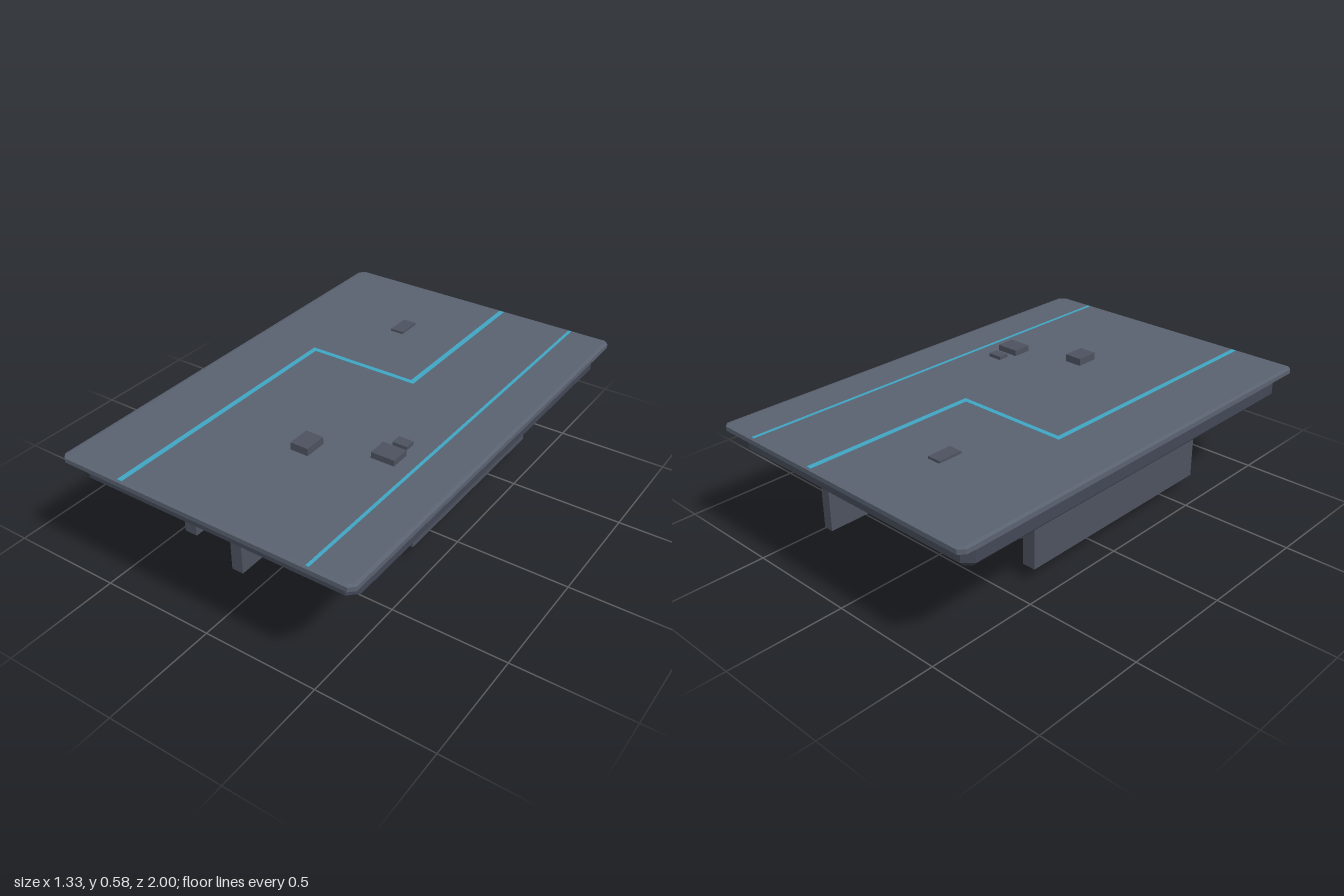
import * as THREE from 'three';

const paint = (color) => new THREE.MeshStandardMaterial({ color, flatShading: true });

export function createModel() {
  const model = new THREE.Group();
  const deckPaint = paint(0x5a6270);
  const hullPaint = paint(0x434856);
  const partPaint = paint(0x4d525f);
  const glowPaint = paint(0x40a5c3);

  // Box given by its limits on each axis
  function block(name, [x0, x1], [y0, y1], [z0, z1], material) {
    const mesh = new THREE.Mesh(new THREE.BoxGeometry(x1 - x0, y1 - y0, z1 - z0), material);
    mesh.position.set((x0 + x1) / 2, (y0 + y1) / 2, (z0 + z1) / 2);
    mesh.name = name;
    model.add(mesh);
  }

  // Flat plate with clipped corners and bevelled rims
  function plate(name, halfX, halfZ, y0, y1, clip, bevel, bevelHeight, material) {
    const x = halfX - bevel, z = halfZ - bevel;
    const outline = new THREE.Shape([
      [x, z - clip], [x - clip, z], [clip - x, z], [-x, z - clip],
      [-x, clip - z], [clip - x, -z], [x - clip, -z], [x, clip - z],
    ].map(([a, b]) => new THREE.Vector2(a, b)));
    const geometry = new THREE.ExtrudeGeometry(outline, {
      depth: y1 - y0 - 2 * bevelHeight,
      bevelSize: bevel, bevelThickness: bevelHeight, bevelSegments: 1,
    });
    geometry.rotateX(-Math.PI / 2);
    const mesh = new THREE.Mesh(geometry, material);
    mesh.position.y = y0 + bevelHeight;
    mesh.name = name;
    model.add(mesh);
  }

  // Main slab and the thicker hull beneath it
  plate('deck', 0.665, 1, 0.52, 0.545, 0.014, 0.015, 0.003, deckPaint);
  plate('hull', 0.63, 0.94, 0.41, 0.52, 0.02, 0.03, 0.03, hullPaint);

  // Hanging fins: x range, bottom, z range
  [
    [[-0.42, -0.36], 0.065, [-0.39, 0.64]],
    [[-0.16, -0.105], 0, [-0.19, 0.66]],
    [[0.105, 0.15], 0.195, [-0.31, 0.6]],
    [[0.365, 0.41], 0.07, [-0.75, 0.21]],
  ].forEach(([x, bottom, z], i) => block(`fin${i + 1}`, x, [bottom, 0.415], z, partPaint));

  // Bar crossing the underside
  block('crossBar', [-0.5, 0.5], [0.38, 0.415], [-0.02, 0.02], partPaint);

  // Small raised blocks on the deck: x range, top, z range
  [
    [[-0.19, -0.13], 0.555, [-0.65, -0.54]],
    [[0.02, 0.1], 0.577, [0.38, 0.48]],
    [[0.3, 0.403], 0.571, [0.27, 0.355]],
    [[0.32, 0.385], 0.56, [0.19, 0.238]],
  ].forEach(([x, top, z], i) => block(`deckBlock${i + 1}`, x, [0.54, top], z, partPaint));

  // Inlaid coloured lines
  [
    [[-0.38, -0.358], [-0.215, 0.99]],
    [[-0.358, 0.12], [-0.215, -0.193]],
    [[0.12, 0.143], [-0.99, -0.193]],
    [[0.47, 0.484], [-0.99, 0.99]],
  ].forEach(([x, z], i) => block(`lightLine${i + 1}`, x, [0.541, 0.5465], z, glowPaint));

  return model;
}
